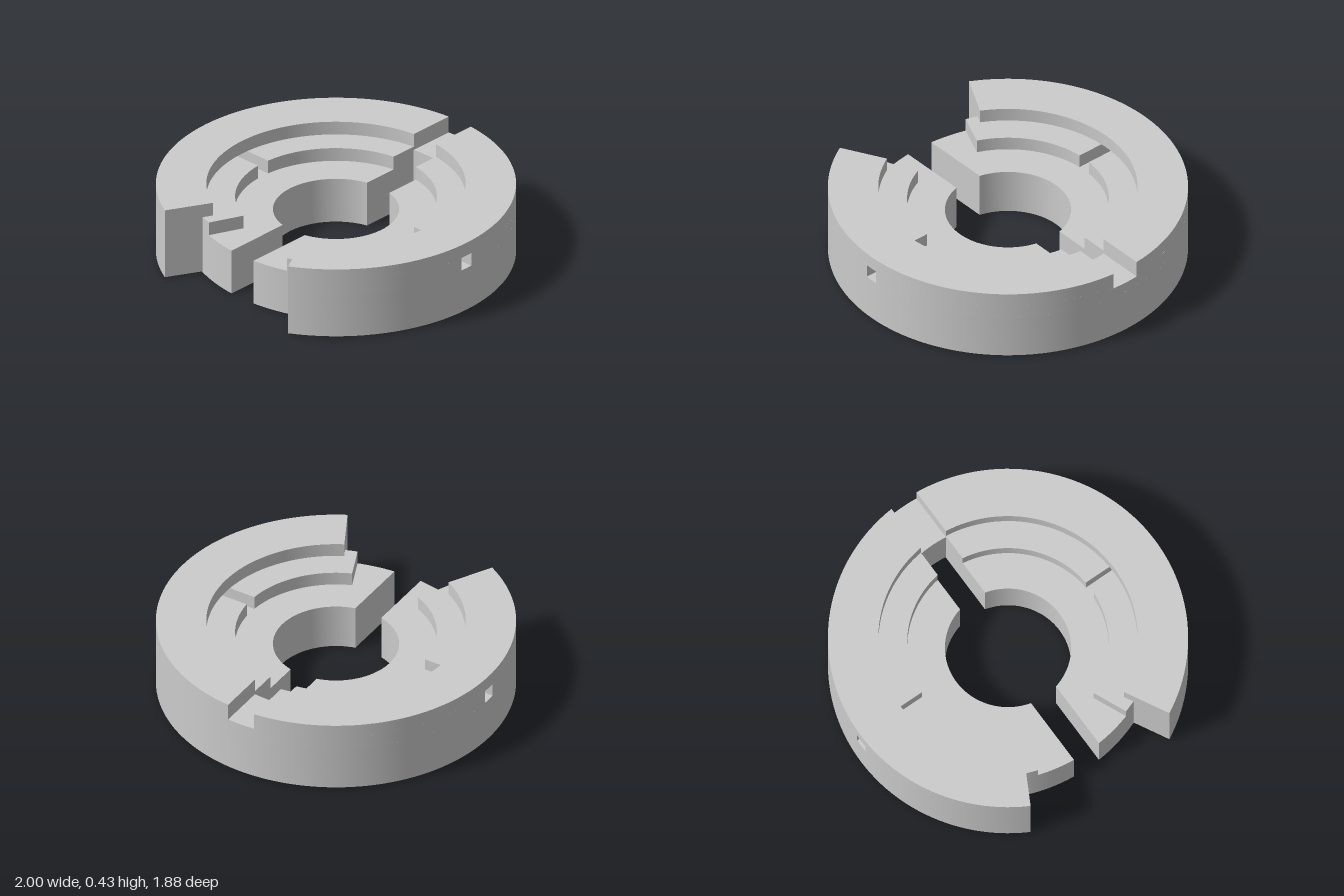
import * as THREE from 'three';
import { toCreasedNormals } from 'three/addons/utils/BufferGeometryUtils.js';

const CZ = 0.06;              // z of the ring axis
const SLOT = 0.085;           // half width of the slit and rear notch
const HOLE = 0.04;            // half width of the side channels
const END = 28.2;             // angle where the outer ring stops
const BORE = 0.35, STEP = 0.56, RIM = 0.72, SEAT = 0.78, OUT = 1;
const deg = THREE.MathUtils.radToDeg, rad = THREE.MathUtils.degToRad;

// Angles run from the front (+z) towards +x; these limits depend on radius
const ringEnd = () => END;
const slotFront = r => deg(Math.asin(SLOT / r));
const slotBack = r => 180 - slotFront(r);
const holeFront = r => 90 - deg(Math.asin(HOLE / r));
const holeBack = r => 180 - holeFront(r);
const farSide = f => r => 360 - f(r);

function arc(r, a0, a1, cz = CZ) {
  const n = Math.max(2, Math.ceil(Math.abs(a1 - a0) / 2.5));
  return Array.from({ length: n + 1 }, (_, i) => {
    const a = rad(a0 + (a1 - a0) * i / n);
    return [r * Math.sin(a), cz + r * Math.cos(a)];
  });
}

const sector = (r0, r1, from, to) => [
  ...arc(r1, from(r1), to(r1)),
  ...arc(r0, to(r0), from(r0)),
];

// Shallow front edge of the inner body, between two x values
const frontEdge = (x0, x1) => arc(1, deg(Math.asin(x0)), deg(Math.asin(x1)), -0.185);

export function createModel() {
  const model = new THREE.Group();
  const material = new THREE.MeshStandardMaterial({ color: 0xcccccc });

  // Upright slab from an outline of [x, z] points
  function slab(name, outline, y0, y1, side = 1) {
    const shape = new THREE.Shape(outline.map(([x, z]) => new THREE.Vector2(side * x, -z)));
    const geometry = new THREE.ExtrudeGeometry(shape, { depth: y1 - y0, bevelEnabled: false });
    geometry.rotateX(-Math.PI / 2).translate(0, y0, 0);
    const mesh = new THREE.Mesh(toCreasedNormals(geometry, 0.4), material);
    mesh.name = name;
    model.add(mesh);
  }

  // Outer ring: full base, and the bridge below the rear notch
  slab('outerRingBase', sector(RIM, OUT, ringEnd, farSide(ringEnd)), 0.008, 0.27);
  slab('outerRingRear', sector(RIM, OUT, holeBack, farSide(holeBack)), 0.27, 0.33);

  for (const [label, side] of [['left', 1], ['right', -1]]) {
    // Outer ring around the side hole, and its upper rim
    slab(label + 'RingFront', sector(RIM, OUT, ringEnd, holeFront), 0.27, 0.35, side);
    slab(label + 'RingRear', sector(RIM, OUT, holeBack, slotBack), 0.33, 0.35, side);
    slab(label + 'RingRim', sector(RIM, OUT, ringEnd, slotBack), 0.35, 0.43, side);

    // Inner body with the bore, split by the slit
    slab(label + 'InnerBody', [
      ...frontEdge(SLOT, 0.365),
      ...arc(SEAT, END, slotBack(SEAT)),
      ...arc(BORE, slotBack(BORE), slotFront(BORE)),
    ], 0, 0.27, side);

    // Raised middle step, cut by the side channel
    slab(label + 'StepFront', [
      ...frontEdge(0.3, 0.365),
      ...arc(SEAT, END, holeFront(SEAT)),
      ...arc(STEP, holeFront(STEP), 22.7),
    ], 0.27, 0.35, side);
    slab(label + 'StepRear', sector(STEP, RIM, holeBack, slotBack), 0.27, 0.35, side);
  }
  return model;
}
